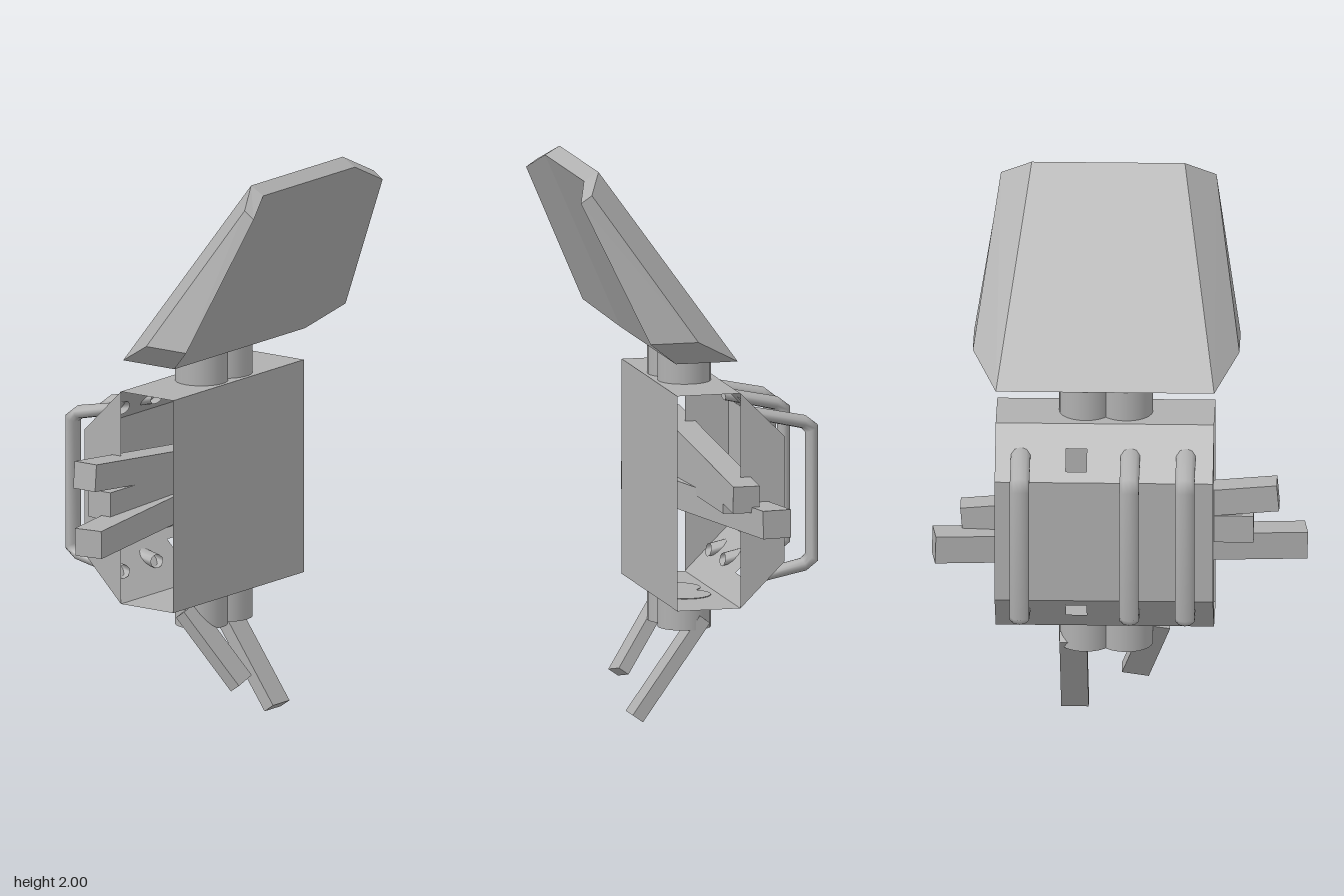
import * as THREE from 'three';

const MID = -0.055; // z centre of housing and shield

export function createModel() {
  const model = new THREE.Group();
  const grey = new THREE.MeshStandardMaterial({ color: 0xb0b0b0, side: THREE.DoubleSide });
  grey.name = 'grey';

  function add(name, geometry, parent = model) {
    const mesh = new THREE.Mesh(geometry, grey);
    mesh.name = name;
    parent.add(mesh);
    return mesh;
  }

  // Flat-faced geometry from four-cornered panels
  function panels(quads) {
    const g = new THREE.BufferGeometry();
    const pts = quads.flatMap(([a, b, c, d]) => [...a, ...b, ...c, ...a, ...c, ...d]);
    g.setAttribute('position', new THREE.Float32BufferAttribute(pts, 3));
    g.computeVertexNormals();
    return g;
  }

  // Box beam between two points; width lies across the beam and level with z or x
  function beam(name, from, to, w, d, side) {
    const a = new THREE.Vector3(...from), b = new THREE.Vector3(...to);
    const dir = b.clone().sub(a);
    const mesh = add(name, new THREE.BoxGeometry(w, dir.length(), d));
    mesh.position.copy(a).add(b).multiplyScalar(0.5);
    const y = dir.normalize();
    const x = new THREE.Vector3(...side).addScaledVector(y, -y.dot(new THREE.Vector3(...side))).normalize();
    const z = x.clone().cross(y);
    mesh.quaternion.setFromRotationMatrix(new THREE.Matrix4().makeBasis(x, y, z));
  }

  // Housing: thin-walled channel, open at both ends of its deep half
  const housing = new THREE.Group();
  housing.name = 'housing';
  model.add(housing);
  const z0 = -0.44, z1 = 0.33;
  const profile = [[-0.30, 1.045], [-0.14, 1.205], [0.09, 1.205], [0.09, 0.435], [-0.14, 0.435], [-0.30, 0.595]];
  const wall = (a, b) => [[...a, z0], [...a, z1], [...b, z1], [...b, z0]];
  add('housingWalls', panels([
    wall(profile[1], profile[2]), wall(profile[2], profile[3]),
    wall(profile[3], profile[4]), wall(profile[5], profile[0]),
  ]), housing);
  add('endCaps', panels([z0, z1].map(z => [0, 1, 4, 5].map(i => [...profile[i], z]))), housing);

  // Sloped walls, each with a square hole
  const rect = (C, xa, xb, ya, yb) => new C([[xa, ya], [xb, ya], [xb, yb], [xa, yb]].map(p => new THREE.Vector2(...p)));
  for (const s of [1, -1]) {
    const shape = rect(THREE.Shape, -0.30, -0.14, z0, z1);
    shape.holes.push(rect(THREE.Path, -0.27, -0.208, -0.19, -0.117));
    const g = new THREE.ShapeGeometry(shape);
    const p = g.attributes.position;
    for (let i = 0; i < p.count; i++) {
      const x = p.getX(i), z = p.getY(i);
      p.setXYZ(i, x, 0.82 + s * (0.385 + (x + 0.14)), z);
    }
    g.computeVertexNormals();
    add(s > 0 ? 'upperSlope' : 'lowerSlope', g, housing);
  }

  // Handles: flattened round bar lofted along a bracket path (outer and inner edge per station)
  const half = [
    [[-0.195, 1.142], [-0.205, 1.095]],
    [[-0.40, 1.10], [-0.385, 1.054]],
    [[-0.445, 1.065], [-0.40, 1.04]],
  ];
  const flip = st => st.map(([x, y]) => [x, 1.643 - y]);
  const stations = [...half, ...half.map(flip).reverse()];
  const SIDES = 10;
  function handleGeometry() {
    const pos = [], idx = [];
    stations.forEach(([o, n], k) => {
      for (let j = 0; j < SIDES; j++) {
        const t = (j / SIDES) * Math.PI * 2, m = (1 + Math.cos(t)) / 2;
        pos.push(n[0] + (o[0] - n[0]) * m, n[1] + (o[1] - n[1]) * m, 0.036 * Math.sin(t));
        if (k === 0) continue;
        const a = k * SIDES + j, b = k * SIDES + (j + 1) % SIDES;
        idx.push(a - SIDES, a, b, a - SIDES, b, b - SIDES);
      }
    });
    const g = new THREE.BufferGeometry();
    g.setAttribute('position', new THREE.Float32BufferAttribute(pos, 3));
    g.setIndex(idx);
    g.computeVertexNormals();
    return g;
  }
  for (const z of [-0.35, 0.037, 0.233]) add('handle', handleGeometry()).position.z = z;

  // Paired round posts above and below the housing
  for (const [name, y] of [['upperPost', 1.2625], ['lowerPost', 0.38]])
    for (const z of [0.018, -0.125])
      add(name, new THREE.CylinderGeometry(0.094, 0.094, 0.115, 24)).position.set(-0.018, y, z);

  // Shield: two bent faces joined by a rim; rows are [x, y, half width]
  const outer = [[-0.13, 1.32, 0.385], [0.035, 1.41, 0.47], [0.40, 1.937, 0.38], [0.347, 2.0, 0.27]];
  const inner = [[0.095, 1.32, 0.385], [0.21, 1.41, 0.47], [0.44, 1.91, 0.38], [0.40, 1.97, 0.27]];
  const ring = rows => [
    ...rows.map(([x, y, w]) => [x, y, MID + w]),
    ...rows.map(([x, y, w]) => [x, y, MID - w]).reverse(),
  ];
  const A = ring(outer), B = ring(inner);
  const quads = [];
  for (const q of [[0, 1, 2, 3], [0, 3, 4, 7], [7, 4, 5, 6]]) {
    quads.push(q.map(i => A[i]));
    quads.push([...q].reverse().map(i => B[i]));
  }
  for (let i = 0; i < 8; i++) {
    const j = (i + 1) % 8;
    quads.push([A[j], A[i], B[i], B[j]]);
  }
  add('shield', panels(quads));

  // Arms running through the housing
  beam('upperArm', [-0.13, 0.942, 0.556], [-0.13, 0.845, -0.56], 0.096, 0.097, [1, 0, 0]);
  beam('middleArm', [-0.13, 0.823, 0.47], [-0.13, 0.823, -0.42], 0.096, 0.10, [1, 0, 0]);
  beam('lowerArm', [-0.043, 0.73, 0.652], [-0.217, 0.77, -0.656], 0.106, 0.10, [1, 0, 0]);

  // Legs
  beam('frontLeg', [-0.005, 0.395, 0.125], [0.177, 0.138, 0.045], 0.097, 0.043, [0, 0, 1]);
  beam('backLeg', [-0.07, 0.36, -0.168], [0.175, 0.015, -0.168], 0.097, 0.046, [0, 0, 1]);

  return model;
}
